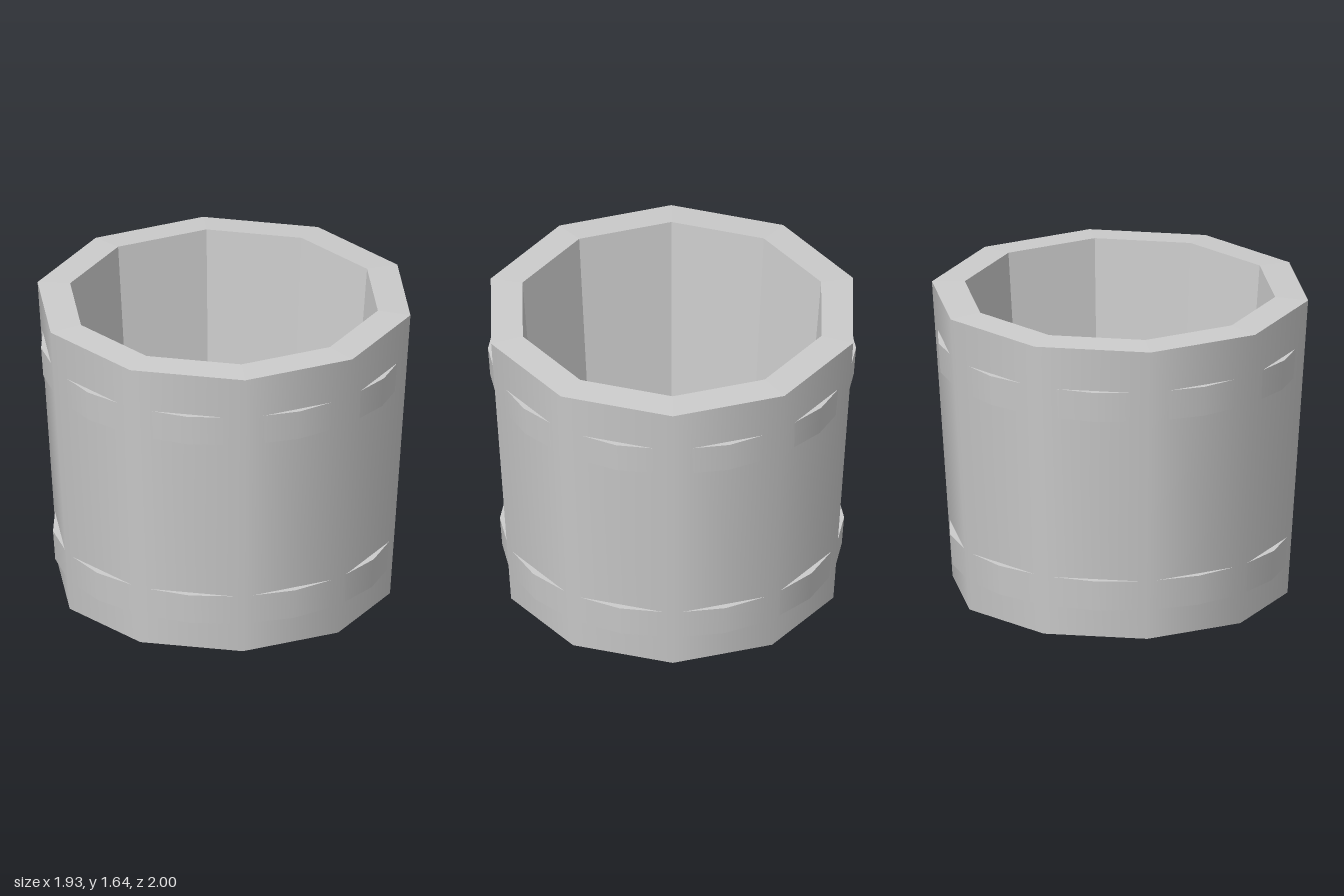
import * as THREE from 'three';

const SIDES = 10;
const material = new THREE.MeshStandardMaterial({ color: 0xcccccc });

// Revolved part from [radius, height] pairs; faceted or smooth around the axis
function turned(name, profile, sides, faceted) {
  let geometry = new THREE.LatheGeometry(profile.map(([r, y]) => new THREE.Vector2(r, y)), sides);
  if (faceted) {
    geometry = geometry.toNonIndexed();
    geometry.computeVertexNormals();
  }
  const mesh = new THREE.Mesh(geometry, material);
  mesh.name = name;
  return mesh;
}

// Tapered hoop: smooth outer band, flat edges running into the wall
function hoop(name, y0, r0, y1, r1) {
  const group = new THREE.Group();
  group.name = name;
  const inset = 0.14;
  group.add(
    turned(name + 'Face', [[r0, y0], [r1, y1]], 20, false),
    turned(name + 'TopEdge', [[r1, y1], [r1 - inset, y1]], 20, true),
    turned(name + 'BottomEdge', [[r0 - inset, y0], [r0, y0]], 20, true)
  );
  return group;
}

export function createModel() {
  const model = new THREE.Group();
  model.name = 'bucket';
  const floorY = 0.12;

  // Body: smooth outside, flat underside, rim and faceted inside
  model.add(
    turned('outerWall', [[0.89, 0], [1, 1.63]], SIDES, false),
    turned('underside', [[0, 0], [0.89, 0]], SIDES, true),
    turned('rim', [[1, 1.63], [0.825, 1.64]], SIDES, true),
    turned('innerWall', [[0.825, 1.64], [0.705, floorY]], SIDES, true),
    turned('innerFloor', [[0.705, floorY], [0, floorY]], SIDES, true)
  );

  // Hoops that break through the middle of each side
  model.add(
    hoop('lowerHoop', 0.16, 0.892, 0.325, 0.904),
    hoop('upperHoop', 1.23, 0.955, 1.395, 0.967)
  );

  // Small block in the middle of the floor
  const block = new THREE.Mesh(new THREE.BoxGeometry(0.165, 0.165, 0.165), material);
  block.name = 'floorBlock';
  block.position.y = floorY + 0.0825;
  model.add(block);

  return model;
}
